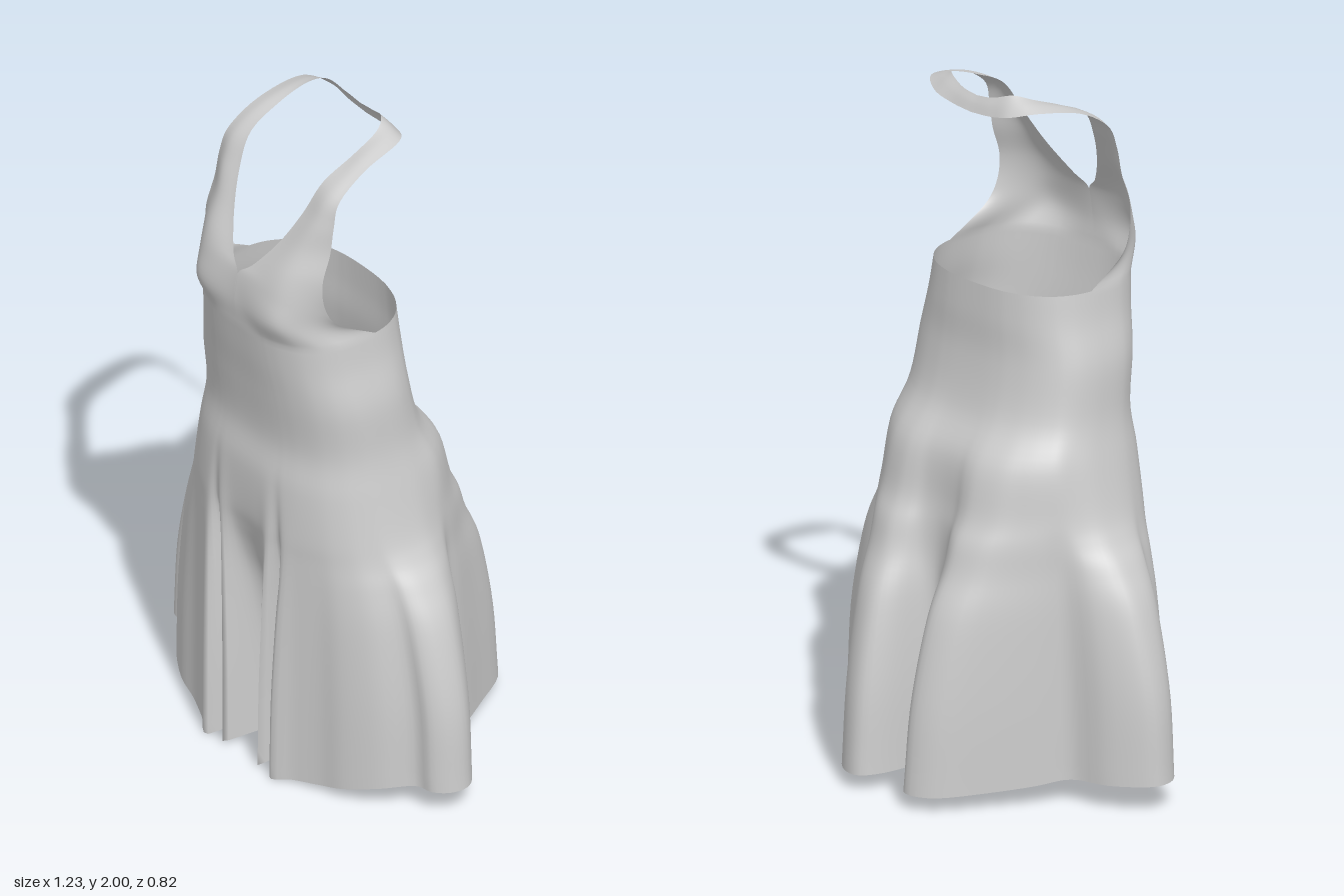
import * as THREE from 'three';
import { mergeGeometries, mergeVertices } from 'three/addons/utils/BufferGeometryUtils.js';

const V = (x, y, z) => new THREE.Vector3(x, y, z);
const mirrorX = (p) => V(-p.x, p.y, p.z);

// Smooth curve through points, sampled evenly by point index
function sample(points, n, closed = false) {
  const curve = new THREE.CatmullRomCurve3(points, closed, 'catmullrom', 0.5);
  return Array.from({ length: closed ? n : n + 1 }, (_, i) => curve.getPoint(i / n));
}

// Surface through key cross-sections: smooth around each section and along them
function loft(sections, across, along, closed, flip = false) {
  const keys = sections.map((s) => sample(s, across, closed));
  const columns = keys[0].map((_, j) => sample(keys.map((k) => k[j]), along));
  const n = columns.length;
  const positions = [];
  const index = [];
  for (let i = 0; i <= along; i++) {
    for (const column of columns) positions.push(...column[i].toArray());
  }
  for (let i = 0; i < along; i++) {
    for (let j = 0; j < (closed ? n : n - 1); j++) {
      const k = (j + 1) % n;
      const a = i * n + j, b = i * n + k, c = (i + 1) * n + k, d = (i + 1) * n + j;
      if (flip) index.push(a, d, b, b, d, c);
      else index.push(a, b, d, b, c, d);
    }
  }
  const geometry = new THREE.BufferGeometry();
  geometry.setAttribute('position', new THREE.Float32BufferAttribute(positions, 3));
  geometry.setIndex(index);
  return geometry;
}

// Half of the pleated hem, front centre to back centre: x, height, z, angle on the body
const HEM = [
  [0, 0.03, 0.23, 0], [0.036, 0.025, 0.268, 0.1], [0.077, 0.01, 0.383, 0.2],
  [0.1, 0.03, 0.25, 0.28], [0.135, 0.005, 0.388, 0.36], [0.2, 0.015, 0.358, 0.5],
  [0.28, 0.025, 0.325, 0.68], [0.36, 0.045, 0.305, 0.85], [0.45, 0.07, 0.25, 1.05],
  [0.51, 0.08, 0.175, 1.25], [0.57, 0.085, 0.163, 1.4], [0.608, 0.085, 0.115, 1.55],
  [0.6, 0.085, 0.05, 1.7], [0.5, 0.08, -0.02, 1.9], [0.385, 0.075, -0.05, 2.1],
  [0.335, 0.065, -0.14, 2.25], [0.265, 0.055, -0.25, 2.42], [0.185, 0.05, -0.373, 2.6],
  [0.1, 0.05, -0.406, 2.8], [0.05, 0.053, -0.345, 2.92], [0.022, 0.058, -0.23, 3.03],
  [0, 0.06, -0.188, Math.PI],
];

// Levels of the dress: height, half width, front z, back z,
// then the amount of hem shape at the front, sides and back
const LEVELS = [
  [0, 0.38, 0.375, -0.185, 1, 1, 1],
  [0.25, 0.38, 0.375, -0.185, 0.9, 0.92, 0.9],
  [0.5, 0.38, 0.375, -0.185, 0.6, 0.67, 0.67],
  [0.64, 0.38, 0.375, -0.18, 0.34, 0.42, 0.43],
  [0.73, 0.38, 0.375, -0.175, 0.17, 0.21, 0.32],
  [0.81, 0.378, 0.375, -0.165, 0.07, 0.08, 0.2],
  [0.95, 0.36, 0.368, -0.15, 0.01, 0.01, 0.1],
  [1.07, 0.337, 0.35, -0.09, 0, 0, 0.02],
  [1.22, 0.325, 0.367, -0.06, 0, 0, 0],
  [1.34, 0.295, 0.387, -0.055, 0, 0, 0],
  [1.43, 0.28, 0.4, -0.05, 0, 0, 0],
];

// Point on the rounded-square body section
function bodyPoint([y, w, front, back], angle) {
  const c = Math.cos(angle);
  return V(
    w * Math.pow(Math.abs(Math.sin(angle)), 0.8),
    y,
    (front + back) / 2 + ((front - back) / 2) * Math.sign(c) * Math.pow(Math.abs(c), 0.8),
  );
}

function dressSection(level) {
  const [frontFlare, sideFlare, backFlare] = level.slice(4);
  const half = HEM.map(([x, y, z, angle]) => {
    const f = angle < 0.6 ? frontFlare : angle < 2 ? sideFlare : backFlare;
    const p = bodyPoint(level, angle);
    return V(p.x + (x - p.x) * f, p.y + y * f, p.z + (z - p.z) * f);
  });
  return [...half, ...half.slice(1, -1).reverse().map(mirrorX)];
}

const AROUND = 4 * (2 * HEM.length - 2);
const HALF_FRONT = 48; // steps from the front centre to the armhole

// Half of the halter: neckline edge, middle and armhole edge, from bust to nape
const HALTER = [
  sample(dressSection(LEVELS.at(-1)), AROUND, true).slice(0, HALF_FRONT + 1),
  [V(0, 1.505, 0.404), V(0.175, 1.5, 0.396), V(0.271, 1.5, 0.253)],
  [V(0, 1.588, 0.392), V(0.165, 1.575, 0.387), V(0.262, 1.565, 0.293)],
  [V(0.043, 1.63, 0.372), V(0.165, 1.645, 0.365), V(0.257, 1.645, 0.298)],
  [V(0.1, 1.715, 0.325), V(0.18, 1.725, 0.32), V(0.255, 1.73, 0.27)],
  [V(0.14, 1.81, 0.275), V(0.2, 1.81, 0.28), V(0.252, 1.81, 0.255)],
  [V(0.16, 1.9, 0.22), V(0.205, 1.89, 0.233), V(0.244, 1.88, 0.228)],
  [V(0.165, 1.95, 0.12), V(0.2, 1.948, 0.13), V(0.235, 1.94, 0.13)],
  [V(0.155, 1.985, 0.03), V(0.183, 1.98, 0.015), V(0.215, 1.968, 0)],
  [V(0.12, 2, -0.015), V(0.135, 1.98, -0.033), V(0.15, 1.953, -0.053)],
  [V(0.06, 1.982, -0.033), V(0.067, 1.962, -0.046), V(0.075, 1.937, -0.058)],
  [V(0, 1.974, -0.036), V(0, 1.955, -0.048), V(0, 1.931, -0.059)],
];

export function createModel() {
  const model = new THREE.Group();
  model.name = 'halterDress';

  // Pleated skirt running up into the waist and back edge
  const skirt = loft(LEVELS.map(dressSection), AROUND, 54, true);

  // Bust panel, straps and neck band
  const leftHalter = loft(HALTER, HALF_FRONT, 60, false);
  const rightHalter = loft(HALTER.map((row) => row.map(mirrorX)), HALF_FRONT, 60, false, true);

  // Join into one sheet of cloth with no seam
  const cloth = mergeVertices(mergeGeometries([skirt, leftHalter, rightHalter]), 1e-4);
  cloth.computeVertexNormals();
  const fabric = new THREE.MeshStandardMaterial({ color: 0xcccccc, side: THREE.DoubleSide });
  const dress = new THREE.Mesh(cloth, fabric);
  dress.name = 'dressCloth';
  model.add(dress);
  return model;
}
